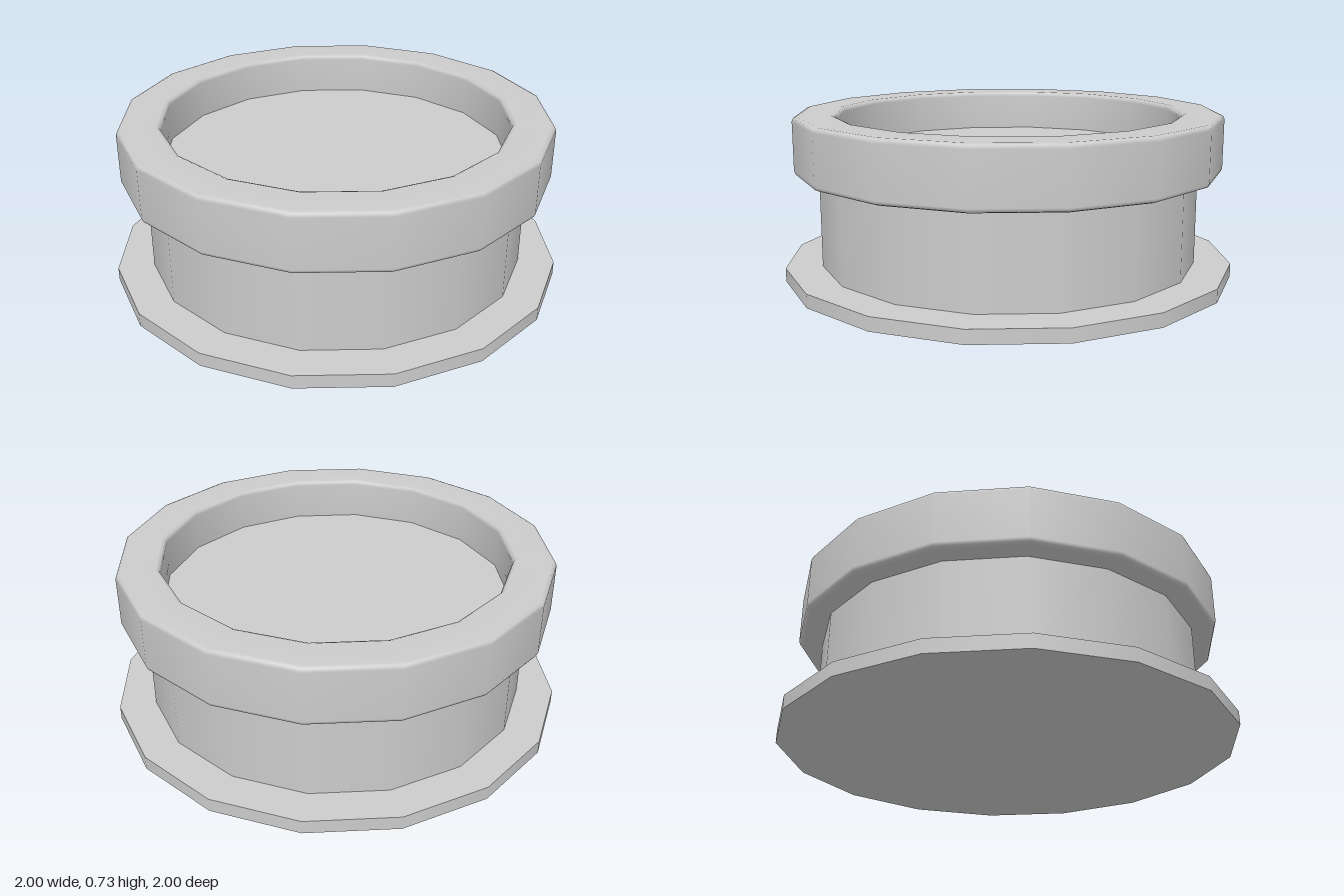
import * as THREE from 'three';

const SIDES = 16;
const material = new THREE.MeshStandardMaterial({ color: 0xcccccc });

function addPart(group, name, geometry, y = 0) {
  const mesh = new THREE.Mesh(geometry, material);
  mesh.name = name;
  mesh.position.y = y;
  group.add(mesh);
}

// Upright disc standing on height y0
function addDisc(group, name, radius, y0, y1) {
  addPart(group, name, new THREE.CylinderGeometry(radius, radius, y1 - y0, SIDES), (y0 + y1) / 2);
}

// Closed ring with a rounded rectangular section, counter-clockwise from the inner wall
function ringGeometry(inner, outer, bottom, top, bevel) {
  const corners = [
    [inner + bevel, bottom + bevel, Math.PI],
    [outer - bevel, bottom + bevel, Math.PI * 1.5],
    [outer - bevel, top - bevel, 0],
    [inner + bevel, top - bevel, Math.PI / 2],
  ];
  const middle = (bottom + top) / 2;
  const profile = [new THREE.Vector2(inner, middle)];
  for (const [x, y, start] of corners) {
    for (let i = 0; i <= 2; i++) {
      const a = start + (i * Math.PI) / 4;
      profile.push(new THREE.Vector2(x + bevel * Math.cos(a), y + bevel * Math.sin(a)));
    }
  }
  profile.push(new THREE.Vector2(inner, middle));
  return new THREE.LatheGeometry(profile, SIDES);
}

export function createModel() {
  const group = new THREE.Group();
  group.name = 'roundPedestal';

  // Wide foot, drum and raised rim around the recessed top
  addDisc(group, 'basePlate', 1, 0, 0.06);
  addDisc(group, 'drum', 0.84, 0.06, 0.54);
  addPart(group, 'rim', ringGeometry(0.76, 0.945, 0.47, 0.725, 0.02));

  return group;
}
